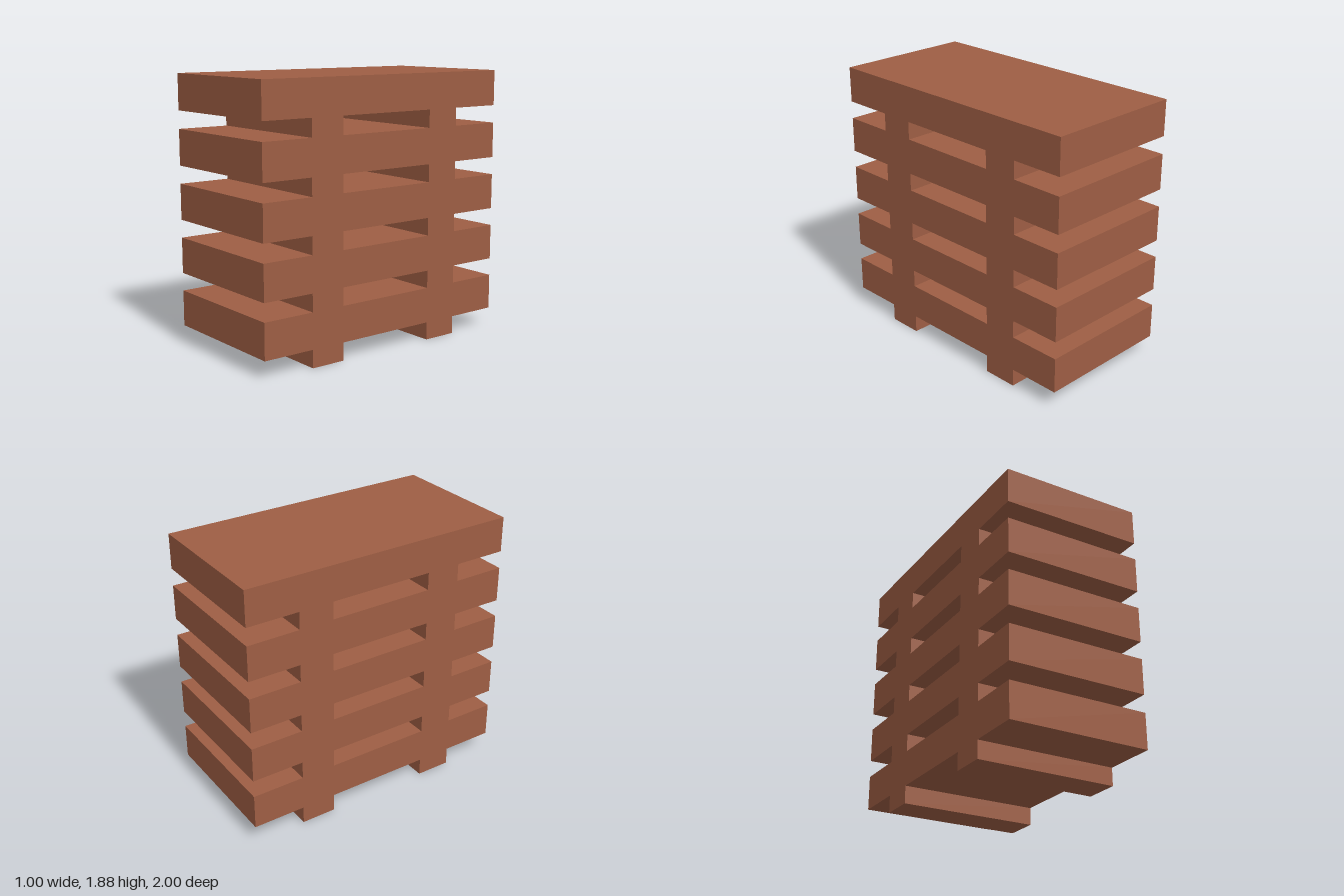
import * as THREE from 'three';

const WIDTH = 1, SLAB = 0.25, FOOT = 0.125, FOOT_HALF = 0.125;
const LAYERS = 5;

// T-shaped section: a square slab standing on a narrow foot rail
function blockGeometry() {
  const shape = new THREE.Shape([
    [-FOOT_HALF, 0], [FOOT_HALF, 0], [FOOT_HALF, FOOT], [0.5, FOOT],
    [0.5, FOOT + SLAB], [-0.5, FOOT + SLAB], [-0.5, FOOT], [-FOOT_HALF, FOOT],
  ].map(([x, y]) => new THREE.Vector2(x, y)));
  const geometry = new THREE.ExtrudeGeometry(shape, { depth: WIDTH, bevelEnabled: false });
  geometry.translate(0, 0, -WIDTH / 2);
  geometry.rotateY(Math.PI / 2);
  return geometry;
}

export function createModel() {
  const model = new THREE.Group();
  model.name = 'blockStack';
  const material = new THREE.MeshStandardMaterial({ color: 0x9e5e44 });
  const geometry = blockGeometry();

  // Two blocks side by side in every layer
  for (let i = 0; i < LAYERS; i++) {
    const layer = new THREE.Group();
    layer.name = `layer${i + 1}`;
    layer.position.y = i * (SLAB + FOOT);
    for (const side of [1, -1]) {
      const block = new THREE.Mesh(geometry, material);
      block.name = side > 0 ? 'frontBlock' : 'backBlock';
      block.position.z = side * 0.5;
      layer.add(block);
    }
    model.add(layer);
  }
  return model;
}
